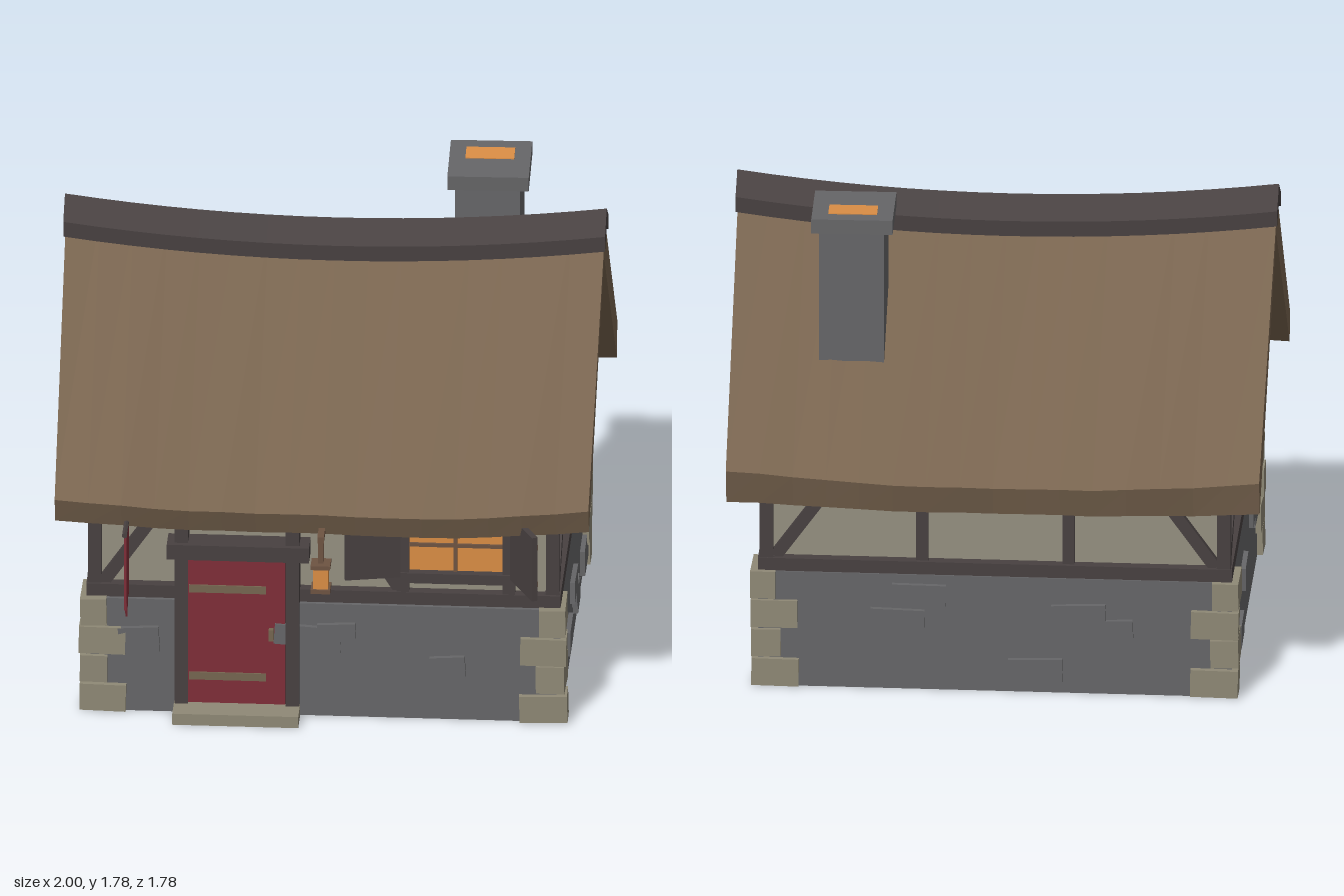
import * as THREE from 'three';

const mat = (name, color) => {
  const m = new THREE.MeshStandardMaterial({ color, flatShading: true });
  m.name = name;
  return m;
};
const V = (x, y, z) => new THREE.Vector3(x, y, z);

export function createModel() {
  const roofMat = mat('thatch brown', 0x78644f);
  const timber = mat('dark timber', 0x484141);
  const stone = mat('grey stone', 0x666668);
  const plaster = mat('plaster', 0x959081);
  const trim = mat('pale stone', 0x8f8976);
  const red = mat('deep red', 0x7f2e38);
  const glow = mat('warm glow', 0xdb8e45);
  const wood = mat('wood', 0x6e5442);
  const strapMat = mat('strap brass', 0x766650);
  red.side = THREE.DoubleSide;

  const model = new THREE.Group();
  model.name = 'cottage';
  const ZC = -0.04; // depth of the ridge line

  let seed = 7;
  const rand = () => ((seed = (seed * 16807) % 2147483647) / 2147483647) - 0.5;

  const add = (name, geo, m, parent = model) => {
    const mesh = new THREE.Mesh(geo, m);
    mesh.name = name;
    parent.add(mesh);
    return mesh;
  };
  // Box given by its extents
  const box = (name, m, x0, x1, y0, y1, z0, z1, parent = model) => {
    const b = add(name, new THREE.BoxGeometry(x1 - x0, y1 - y0, z1 - z0), m, parent);
    b.position.set((x0 + x1) / 2, (y0 + y1) / 2, (z0 + z1) / 2);
    return b;
  };
  // Timber between two points, with its depth along the wall normal
  const beam = (name, a, b, w, d, normal) => {
    const dir = b.clone().sub(a);
    const len = dir.length();
    dir.normalize();
    const mesh = add(name, new THREE.BoxGeometry(w, len, d), timber);
    const side = dir.clone().cross(normal);
    mesh.quaternion.setFromRotationMatrix(new THREE.Matrix4().makeBasis(side, dir, normal));
    mesh.position.copy(a).add(b).multiplyScalar(0.5);
    return mesh;
  };
  // Skin over chevron sections of six points: front, peak, back, and the same underneath
  const chevronLoft = (sections) => {
    const pos = [];
    const quad = (a, b, c, d) => [a, b, c, a, c, d].forEach((p) => pos.push(p.x, p.y, p.z));
    for (let i = 0; i + 1 < sections.length; i++) {
      const s = sections[i], t = sections[i + 1];
      for (let k = 0; k < 6; k++) quad(s[k], t[k], t[(k + 1) % 6], s[(k + 1) % 6]);
    }
    const s = sections[0], t = sections[sections.length - 1];
    quad(s[0], s[1], s[4], s[5]);
    quad(s[1], s[2], s[3], s[4]);
    quad(t[5], t[4], t[1], t[0]);
    quad(t[4], t[3], t[2], t[1]);
    const g = new THREE.BufferGeometry();
    g.setAttribute('position', new THREE.Float32BufferAttribute(pos, 3));
    g.computeVertexNormals();
    return g;
  };

  // Sagging roof with an uneven eave, and its ridge cap
  const roof = [], ridge = [];
  const N = 16;
  for (let i = 0; i <= N; i++) {
    const u = -1 + (2 * i) / N;
    const sag = 1 - u * u;
    const wave = i % 2 ? 0 : rand() * 0.016;
    const f = 0.012 * Math.sin(u * 5 - 0.9) + wave, r = 0.008 * Math.cos(u * 8) + wave;
    const x = u * 0.985;
    const e = -0.045 * sag;
    const p = 1.695 - 0.07 * sag;
    roof.push([
      V(x, 0.905 + e + wave, 0.785 + f), V(u * 0.995, p, ZC), V(x, 0.905 + e - wave, -0.88 + r),
      V(x, 0.77 + e * 0.5 - wave, -0.848 + r), V(u * 0.99, p - 0.135, ZC), V(x, 0.805 + e * 0.8 + wave, 0.75 + f),
    ]);
    const q = 1.757 - 0.067 * sag;
    ridge.push([
      V(u, q - 0.07, ZC + 0.097), V(u, q, ZC), V(u, q - 0.07, ZC - 0.097),
      V(u, q - 0.13, ZC - 0.097), V(u, q - 0.07, ZC), V(u, q - 0.13, ZC + 0.097),
    ]);
  }
  add('roof', chevronLoft(roof), roofMat);
  add('ridgeCap', chevronLoft(ridge), timber);

  // Stone base with corner stones
  box('stoneBase', stone, -0.875, 0.875, 0, 0.455, -0.75, 0.68);
  for (const sx of [-1, 1]) for (const sz of [-1, 1]) for (let i = 0; i < 4; i++) {
    const lx = (i % 2 ? 0.1 : 0.175) + rand() * 0.02;
    const lz = (i % 2 ? 0.175 : 0.1) + rand() * 0.02;
    const b = add('cornerStone', new THREE.BoxGeometry(lx, 0.107, lz), trim);
    b.position.set(sx * (0.897 + rand() * 0.01 - lx / 2), 0.058 + i * 0.115, -0.035 + sz * (0.733 + rand() * 0.01 - lz / 2));
    b.rotation.set(rand() * 0.04, rand() * 0.04, rand() * 0.06);
  }

  // Raised stones: centre along the wall, centre height, width, height
  const raised = {
    front: [[-0.68, 0.295, 0.15, 0.1], [-0.09, 0.33, 0.18, 0.08], [0.05, 0.345, 0.14, 0.07], [-0.01, 0.3, 0.15, 0.07], [0.46, 0.215, 0.13, 0.085]],
    back: [[0.28, 0.38, 0.2, 0.08], [0.36, 0.28, 0.2, 0.08], [-0.15, 0.09, 0.2, 0.09], [-0.31, 0.31, 0.2, 0.09], [-0.41, 0.26, 0.2, 0.07]],
    right: [[0.295, 0.175, 0.175, 0.095], [0.03, 0.255, 0.19, 0.085], [-0.075, 0.18, 0.15, 0.065], [-0.125, 0.135, 0.14, 0.08], [-0.51, 0.115, 0.14, 0.1], [-0.555, 0.09, 0.17, 0.075]],
    left: [[-0.19, 0.27, 0.15, 0.09], [0.24, 0.34, 0.17, 0.08], [0.32, 0.29, 0.15, 0.07], [-0.42, 0.13, 0.15, 0.09]],
  };
  for (const [wall, list] of Object.entries(raised)) for (const [c, y, w, h] of list) {
    const alongX = wall === 'front' || wall === 'back';
    const b = add(wall + 'RaisedStone', new THREE.BoxGeometry(alongX ? w : 0.03, h, alongX ? 0.03 : w), stone);
    if (alongX) b.position.set(c, y, wall === 'front' ? 0.683 : -0.753);
    else b.position.set(wall === 'right' ? 0.878 : -0.878, y, c);
    b.rotation[alongX ? 'z' : 'x'] = rand() * 0.14;
  }

  // Plaster walls with both gables
  const gable = new THREE.Shape([[-0.625, 0.45], [0.705, 0.45], [0.705, 0.93], [0.04, 1.57], [-0.625, 0.93]]
    .map(([a, b]) => new THREE.Vector2(a, b)));
  const walls = add('plasterWalls', new THREE.ExtrudeGeometry(gable, { depth: 1.69, bevelEnabled: false }), plaster);
  walls.rotation.y = Math.PI / 2;
  walls.position.x = -0.845;

  // Corner posts and sills
  for (const sx of [-1, 1]) for (const z of [0.63, -0.715])
    box('cornerPost', timber, sx * 0.845 - 0.025, sx * 0.845 + 0.025, 0.45, 0.93, z - 0.025, z + 0.025);
  for (const z of [0.64, -0.72]) {
    box('sill', timber, -0.875, 0.875, 0.45, 0.505, z - 0.025, z + 0.025);
    box('wallPlate', timber, -0.865, 0.865, 0.84, 0.9, z - 0.02, z + 0.02);
  }

  // Gable framing
  const X = V(1, 0, 0), Z = V(0, 0, 1);
  for (const sx of [-1, 1]) {
    const gb = (name, z0, y0, z1, y1, w, d = 0.05) =>
      beam(name, V(sx * 0.845, y0, z0), V(sx * 0.845, y1, z1), w, d, X);
    gb('gableSill', 0.65, 0.482, -0.735, 0.482, 0.055, 0.06);
    gb('gableTieBeam', 0.64, 0.95, -0.72, 0.95, 0.052, 0.056);
    gb('gableCollar', 0.45, 1.107, -0.53, 1.107, 0.045, 0.046);
    gb('gableCentrePost', ZC, 0.46, ZC, 1.56, 0.05, 0.054);
    for (const s of [-1, 1]) {
      gb('lowerBrace', ZC, 0.92, ZC + s * 0.65, 0.5, 0.045, 0.042);
      gb('upperBrace', ZC, 1.4, ZC + s * 0.36, 0.95, 0.045, 0.042);
    }
  }

  // Front and back framing
  const wallBeam = (name, x0, y0, x1, y1, z) => beam(name, V(x0, y0, z), V(x1, y1, z), 0.045, 0.04, Z);
  wallBeam('frontBrace', -0.83, 0.48, -0.57, 0.86, 0.63);
  wallBeam('frontBrace', 0.29, 0.49, 0.06, 0.86, 0.63);
  for (const s of [-1, 1]) {
    wallBeam('backPost', s * 0.27, 0.48, s * 0.27, 0.86, -0.71);
    wallBeam('backBrace', s * 0.83, 0.48, s * 0.56, 0.86, -0.71);
  }

  // Door with frame, straps, handle and step
  box('doorStep', trim, -0.55, -0.085, 0, 0.045, 0.66, 0.795);
  box('door', red, -0.505, -0.14, 0.04, 0.64, 0.63, 0.69);
  for (const x of [-0.523, -0.112]) box('doorPost', timber, x - 0.025, x + 0.025, 0.04, 0.86, 0.62, 0.705);
  box('doorLintel', timber, -0.575, -0.05, 0.64, 0.7, 0.62, 0.725);
  for (const y of [0.51, 0.155]) box('doorStrap', strapMat, -0.495, -0.21, y - 0.015, y + 0.015, 0.688, 0.696);
  box('doorHandle', strapMat, -0.2, -0.182, 0.31, 0.355, 0.69, 0.71);

  // Window with frame and glazing bars
  box('windowPane', glow, 0.31, 0.665, 0.58, 0.85, 0.625, 0.637);
  for (const x of [0.292, 0.683]) box('windowPost', timber, x - 0.023, x + 0.023, 0.48, 0.86, 0.62, 0.662);
  box('windowLedge', timber, 0.27, 0.705, 0.545, 0.585, 0.62, 0.67);
  box('windowBar', wood, 0.478, 0.492, 0.585, 0.85, 0.63, 0.647);
  for (const y of [0.69, 0.795]) box('windowBar', wood, 0.315, 0.66, y - 0.007, y + 0.007, 0.63, 0.646);

  // Open shutters: side, hinge x, swing
  for (const [s, hx, turn] of [[-1, 0.282, 0.2], [1, 0.7, -1.1]]) {
    const g = new THREE.Group();
    g.name = s < 0 ? 'leftWindowShutter' : 'rightWindowShutter';
    g.position.set(hx, 0, 0.668);
    g.rotation.y = turn;
    const a = s < 0 ? -0.205 : 0, b = s < 0 ? 0 : 0.205;
    box('shutterPanel', timber, a, b, 0.572, 0.83, -0.01, 0.012, g);
    for (const y of [0.63, 0.78]) box('shutterStrap', wood, a + 0.015, b - 0.015, y - 0.011, y + 0.011, -0.018, -0.009, g);
    model.add(g);
  }

  // Hanging lantern
  const lantern = new THREE.Group();
  lantern.name = 'lantern';
  model.add(lantern);
  box('lanternArm', wood, -0.012, 0.012, 0.775, 0.8, 0.64, 0.835, lantern);
  box('lanternHanger', wood, -0.01, 0.01, 0.685, 0.785, 0.803, 0.823, lantern);
  box('lanternGlass', glow, -0.028, 0.028, 0.59, 0.675, 0.785, 0.841, lantern);
  for (const y of [0.583, 0.68]) box('lanternPlate', wood, -0.036, 0.036, y - 0.008, y + 0.008, 0.777, 0.849, lantern);

  // Banner on a pole, with a ragged lower edge
  const pole = add('bannerPole', new THREE.CylinderGeometry(0.01, 0.01, 0.25, 6), timber);
  pole.rotation.x = Math.PI / 2;
  pole.position.set(-0.72, 0.81, 0.765);
  const cloth = new THREE.Shape([[-0.845, 0.81], [-0.845, 0.485], [-0.81, 0.515], [-0.78, 0.43], [-0.745, 0.515], [-0.71, 0.48], [-0.7, 0.57], [-0.7, 0.81]]
    .map(([a, b]) => new THREE.Vector2(a, b)));
  const banner = add('banner', new THREE.ExtrudeGeometry(cloth, { depth: 0.008, bevelEnabled: false }), red);
  banner.rotation.y = Math.PI / 2;
  banner.position.x = -0.724;

  // Chimney with a tilted cap and glowing opening
  box('chimneyShaft', stone, 0.425, 0.665, 1.15, 1.73, -0.52, -0.275);
  const cap = new THREE.Group();
  cap.name = 'chimneyCap';
  cap.position.set(0.545, 1.747, -0.4);
  cap.rotation.set(0.03, 0.02, 0);
  model.add(cap);
  box('capSlab', stone, -0.15, 0.15, -0.028, 0.028, -0.148, 0.148, cap);
  box('chimneyGlow', glow, -0.09, 0.09, 0.026, 0.031, -0.09, 0.0, cap);

  return model;
}
